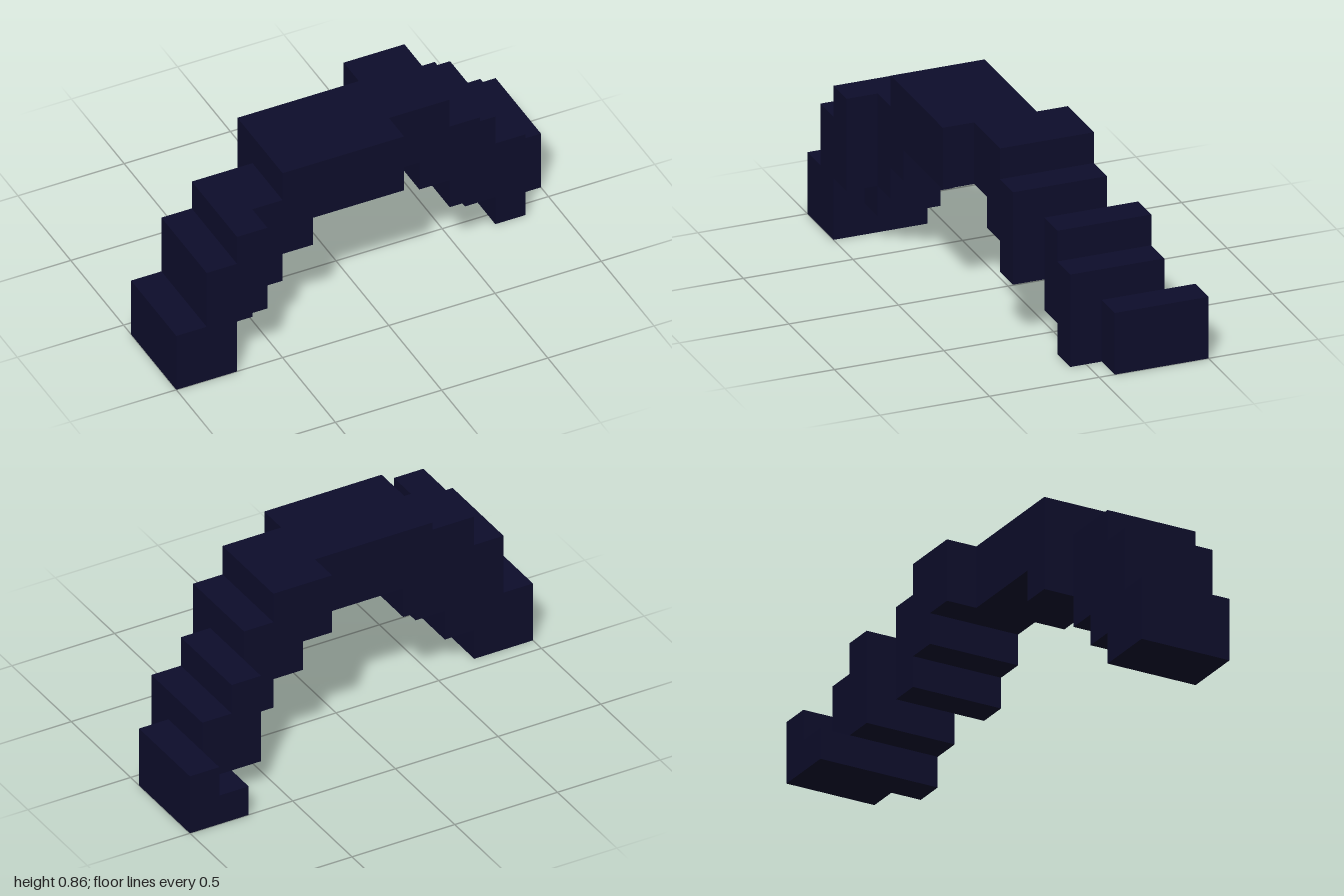
import * as THREE from 'three';

const U = 1 / 7; // size of one block

export function createModel() {
  const model = new THREE.Group();
  model.name = 'blockArch';
  const navy = new THREE.MeshStandardMaterial({ color: 0x0d0d2b });
  navy.name = 'navy';

  // box given by its limits in blocks: x, y and z ranges
  const block = (parent, name, [x0, x1], [y0, y1], [z0, z1]) => {
    const mesh = new THREE.Mesh(new THREE.BoxGeometry((x1 - x0) * U, (y1 - y0) * U, (z1 - z0) * U), navy);
    mesh.position.set((x0 + x1) / 2 * U, (y0 + y1) / 2 * U, (z0 + z1) / 2 * U);
    mesh.name = name;
    parent.add(mesh);
  };
  const section = (name, parts) => {
    const group = new THREE.Group();
    group.name = name;
    parts.forEach((p) => block(group, ...p));
    model.add(group);
  };

  // right leg, stepping up from the ground
  section('rightLeg', [
    ['rightFoot', [-7, -6], [0, 2], [0.5, 3.5]],
    ['rightShin', [-6, -5], [0, 4], [0.5, 3.5]],
    ['rightKnee', [-5, -4], [2, 5], [0.5, 3.5]],
    ['rightKneeUnderside', [-5, -4], [1, 2], [0.5, 2.5]],
    ['rightShoulder', [-4, -3], [2, 5], [0.5, 2.5]],
  ]);

  // top span, shifted back halfway along
  section('span', [
    ['spanRightEnd', [-3, -2], [3, 6], [-0.5, 2.5]],
    ['spanFront', [-2, 1], [4, 6], [-0.5, 2.5]],
    ['spanBack', [1, 2], [4, 6], [-1.5, 1.5]],
    ['spanLeftEnd', [2, 3], [3, 6], [-1.5, 1.5]],
  ]);

  // left leg, stepping down and back
  section('leftLeg', [
    ['leftShoulder', [3, 4], [2, 5], [-1.5, 1.5]],
    ['leftKnee', [4, 5], [1, 4], [-2.5, 0.5]],
    ['leftShin', [5, 6], [0, 3], [-2.5, 0.5]],
    ['leftHeel', [5, 6], [0, 1], [-3.5, -2.5]],
    ['leftFoot', [6, 7], [0, 2], [-3.5, -0.5]],
  ]);

  return model;
}
